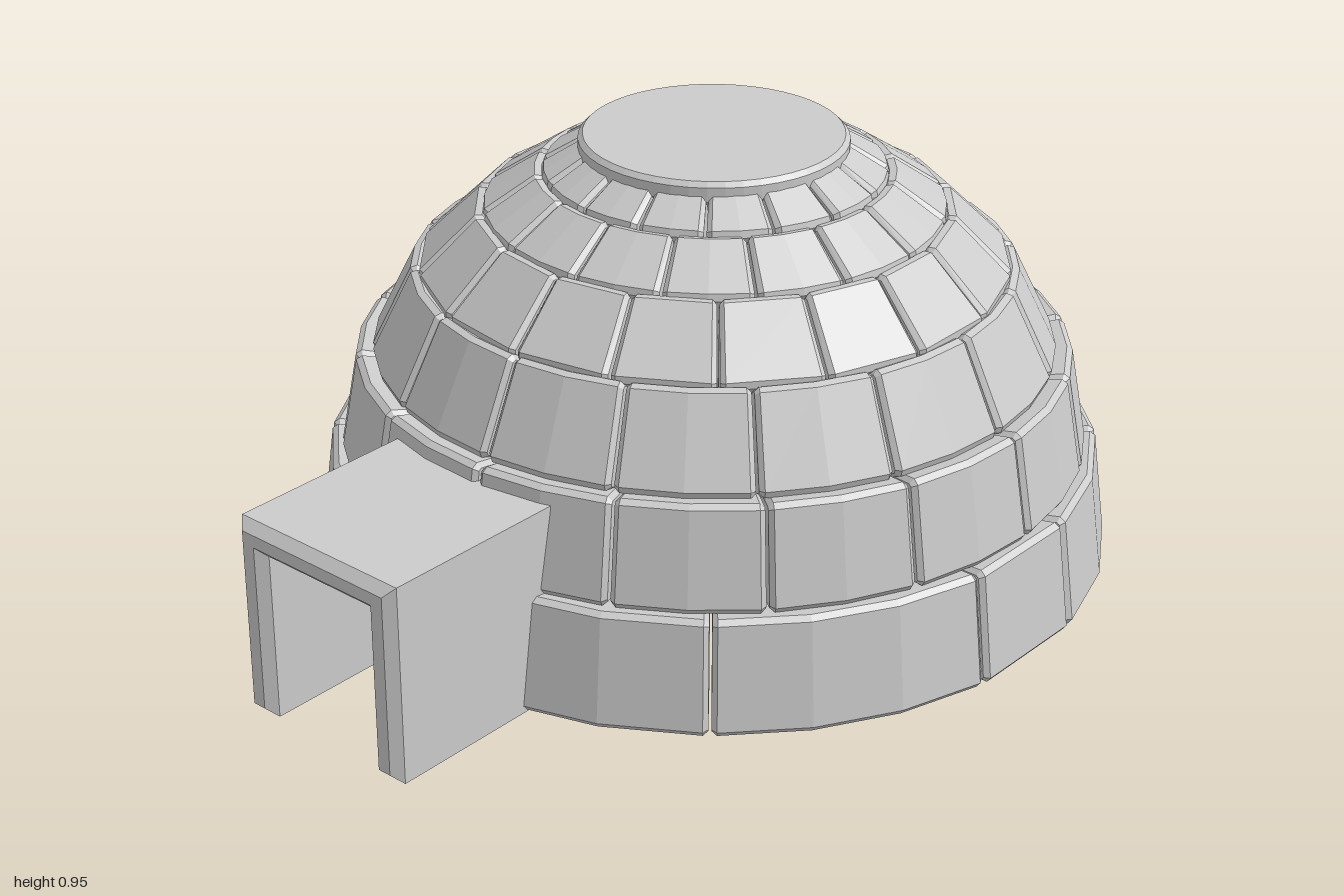
import * as THREE from 'three';

const DOME_Z = -0.16;
const RAD = Math.PI / 180;
const material = new THREE.MeshStandardMaterial({ color: 0xcccccc, flatShading: true });

// Flat-faced geometry through a series of closed sections, with both ends capped.
function loft(sections) {
  const pos = [];
  const tri = (a, b, c) => pos.push(...a, ...b, ...c);
  const n = sections[0].length;
  for (let s = 0; s < sections.length - 1; s++) {
    for (let j = 0; j < n; j++) {
      const k = (j + 1) % n;
      tri(sections[s][j], sections[s + 1][j], sections[s + 1][k]);
      tri(sections[s][j], sections[s + 1][k], sections[s][k]);
    }
  }
  const first = sections[0], last = sections[sections.length - 1];
  for (let j = 1; j < n - 1; j++) {
    tri(first[0], first[j], first[j + 1]);
    tri(last[0], last[j + 1], last[j]);
  }
  const geo = new THREE.BufferGeometry();
  geo.setAttribute('position', new THREE.Float32BufferAttribute(pos, 3));
  geo.computeVertexNormals();
  return geo;
}

// Chamfered rectangle in (radius, height), leaning inward like the dome wall.
function profile(r0, y0, r1, y1, thick, inset, bevel) {
  const up = new THREE.Vector2(r1 - r0, y1 - y0);
  const h = up.length();
  up.normalize();
  const inward = new THREE.Vector2(-up.y, up.x);
  const lo = inset, hi = h - inset, near = inset, far = thick - inset, b = bevel;
  return [
    [near + b, lo], [near, lo + b], [near, hi - b], [near + b, hi],
    [far - b, hi], [far, hi - b], [far, lo + b], [far - b, lo],
  ].map(([d, v]) => [r0 + inward.x * d + up.x * v, y0 + inward.y * d + up.y * v]);
}

// One curved block between two angles (0 degrees = front, growing towards +x).
function blockGeometry(ring, from, to, thick) {
  const { r0, y0, r1, y1 } = ring;
  const b = 0.011;
  const full = profile(r0, y0, r1, y1, thick, 0, b);
  const small = profile(r0, y0, r1, y1, thick, b * 0.8, b * 0.5);
  const gap = 0.003 / r0 / RAD, edge = b / r0 / RAD;
  const a0 = from + gap, a1 = to - gap;
  const place = (prof, a) => prof.map(([r, y]) =>
    [r * Math.sin(a * RAD), y, r * Math.cos(a * RAD)]);
  const facets = Math.max(1, Math.round((to - from) / 15));
  const sections = [place(small, a0)];
  for (let i = 0; i <= facets; i++) {
    sections.push(place(full, a0 + edge + (a1 - a0 - 2 * edge) * i / facets));
  }
  sections.push(place(small, a1));
  return loft(sections);
}

const even = (count, offset) =>
  Array.from({ length: count }, (_, i) => offset + i * 360 / count);

export function createModel() {
  const model = new THREE.Group();
  model.name = 'snowHouse';

  // Courses of blocks; the lowest course repeats its joints every quarter turn
  const baseJoints = [0, 90, 180, 270].flatMap(q => [q + 10, q + 40, q + 80]);
  const rings = [
    { r0: 0.85, y0: 0.03, r1: 0.818, y1: 0.272, thick: 0.23, joints: baseJoints, doorThick: 0.06 },
    { r0: 0.794, y0: 0.27, r1: 0.754, y1: 0.488, thick: 0.21, joints: even(16, 3) },
    { r0: 0.724, y0: 0.485, r1: 0.63, y1: 0.675, thick: 0.2, joints: even(16, 2) },
    { r0: 0.625, y0: 0.67, r1: 0.492, y1: 0.8, thick: 0.18, joints: even(18, 1) },
    { r0: 0.488, y0: 0.795, r1: 0.365, y1: 0.877, thick: 0.16, joints: even(16, 5) },
    { r0: 0.364, y0: 0.873, r1: 0.26, y1: 0.936, thick: 0.15, joints: even(16, -8) },
  ];
  const dome = new THREE.Group();
  dome.name = 'dome';
  dome.position.z = DOME_Z;
  rings.forEach((ring, level) => {
    const course = new THREE.Group();
    course.name = `course${level + 1}`;
    ring.joints.forEach((from, i) => {
      const last = i === ring.joints.length - 1;
      const to = last ? ring.joints[0] + 360 : ring.joints[i + 1];
      // The block behind the entrance is only a thin slab
      const isDoor = last && ring.doorThick !== undefined;
      const thick = isDoor ? ring.doorThick : ring.thick;
      const block = new THREE.Mesh(blockGeometry(ring, from, to, thick), material);
      block.name = isDoor ? 'doorSlab' : 'block';
      course.add(block);
    });
    dome.add(course);
  });
  model.add(dome);

  // Round lid closing the top
  const lidProfile = [[0, 0.9], [0.27, 0.9], [0.28, 0.91], [0.28, 0.94], [0.27, 0.95], [0, 0.95]]
    .map(([r, y]) => new THREE.Vector2(r, y));
  const lid = new THREE.Mesh(new THREE.LatheGeometry(lidProfile, 48), material);
  lid.name = 'lid';
  lid.position.z = -0.155;
  model.add(lid);

  // Entrance tunnel: bevelled arch of two walls and a roof
  const b = 0.02;
  const arch = new THREE.Shape([
    [-0.21 + b, 0.025 + b], [-0.14 - b, 0.025 + b], [-0.14 - b, 0.385 + b], [0.14 + b, 0.385 + b],
    [0.14 + b, 0.025 + b], [0.21 - b, 0.025 + b], [0.21 - b, 0.452 - b], [-0.21 + b, 0.452 - b],
  ].map(([x, y]) => new THREE.Vector2(x, y)));
  const tunnelGeo = new THREE.ExtrudeGeometry(arch, {
    depth: 0.45 - 2 * b, bevelEnabled: true, bevelThickness: b, bevelSize: b, bevelSegments: 1,
  });
  const tunnel = new THREE.Mesh(tunnelGeo, material);
  tunnel.name = 'entranceTunnel';
  tunnel.position.z = 0.55 + b;
  model.add(tunnel);

  return model;
}
